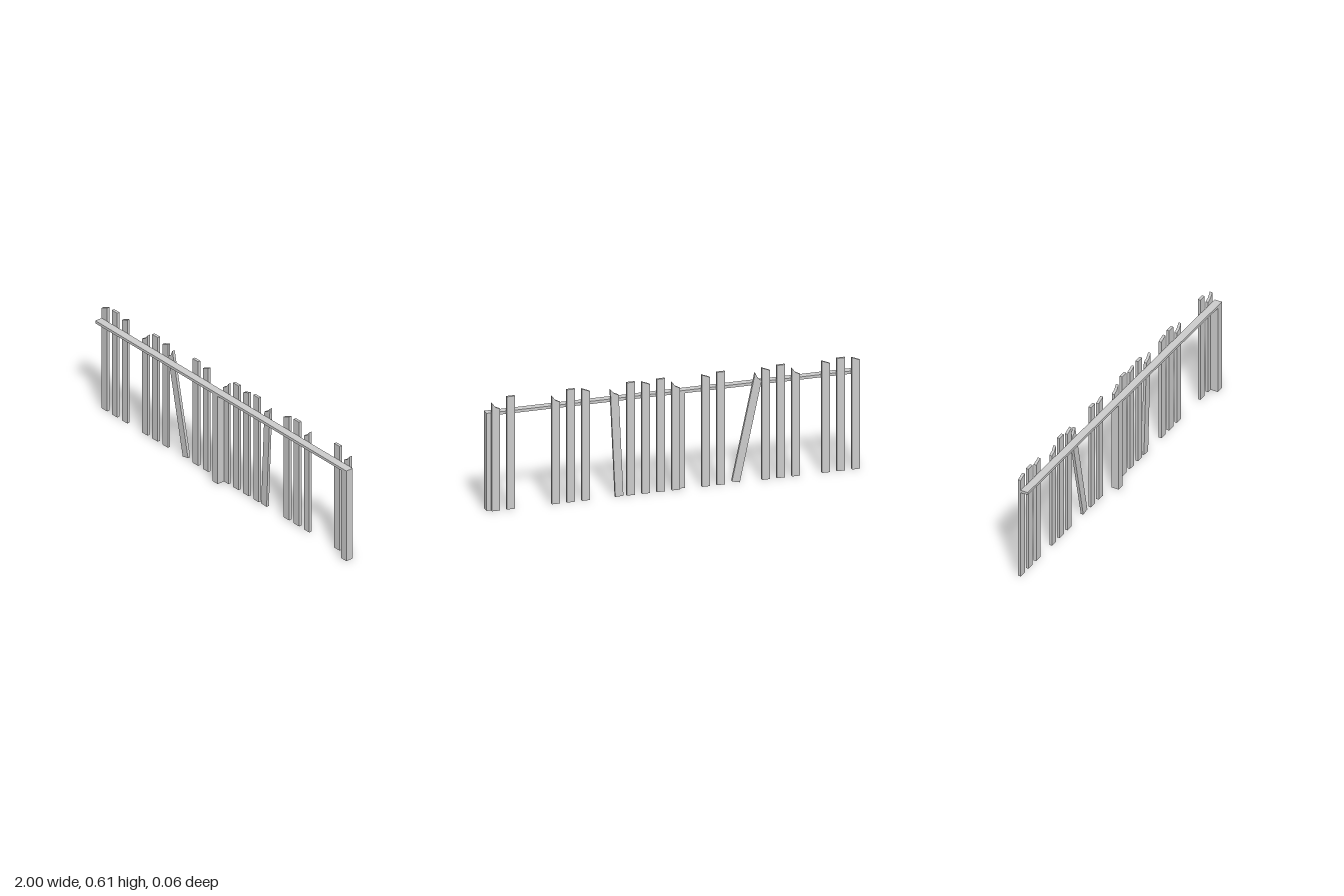
import * as THREE from 'three';

export function createModel() {
  const fence = new THREE.Group();
  fence.name = 'brokenFence';
  const mat = new THREE.MeshStandardMaterial({ color: 0xcccccc, flatShading: true });

  const halfW = 0.0215, backZ = -0.028, joinZ = -0.013, frontZ = 0.029;

  // Plank top outlines, right to left
  const tops = {
    flat: [[halfW, 0.609], [-halfW, 0.609]],
    worn: [[halfW, 0.604], [-halfW, 0.587]],
    split: [[halfW, 0.585], [0.003, 0.56], [-halfW, 0.548]],
  };
  const plankGeo = {};
  for (const [kind, top] of Object.entries(tops)) {
    const outline = [[-halfW, 0], [halfW, 0], ...top].map(([x, y]) => new THREE.Vector2(x, y));
    plankGeo[kind] = new THREE.ExtrudeGeometry(new THREE.Shape(outline), {
      depth: joinZ - backZ, bevelEnabled: false,
    });
  }

  function plank(kind, x, y = 0, tilt = 0) {
    const m = new THREE.Mesh(plankGeo[kind], mat);
    m.name = 'plank';
    m.position.set(x, y, backZ);
    m.rotation.z = tilt;
    fence.add(m);
  }

  // Upright planks on an even spacing, with gaps where some are missing
  const slots = {
    flat: [1, 5, 9, 13, 15, 19, 23],
    worn: [0, 2, 6, 10, 14, 18],
    split: [4, 12, 20, 24],
  };
  for (const kind in slots) {
    for (const k of slots[kind]) plank(kind, -0.978 + 0.0805 * k);
  }

  // Two loose planks leaning out of line
  plank('split', -0.333, 0.006, 0.215);
  plank('split', 0.292, 0.001, -0.046);

  function beam(name, x0, x1, y0, y1) {
    const m = new THREE.Mesh(new THREE.BoxGeometry(x1 - x0, y1 - y0, frontZ - joinZ), mat);
    m.name = name;
    m.position.set((x0 + x1) / 2, (y0 + y1) / 2, (joinZ + frontZ) / 2);
    fence.add(m);
  }

  // Top rail and its supporting posts
  beam('rail', -1, 1, 0.512, 0.527);
  beam('middlePost', -0.065, -0.025, 0, 0.512);
  beam('endPost', 0.958, 1, 0, 0.512);

  return fence;
}
